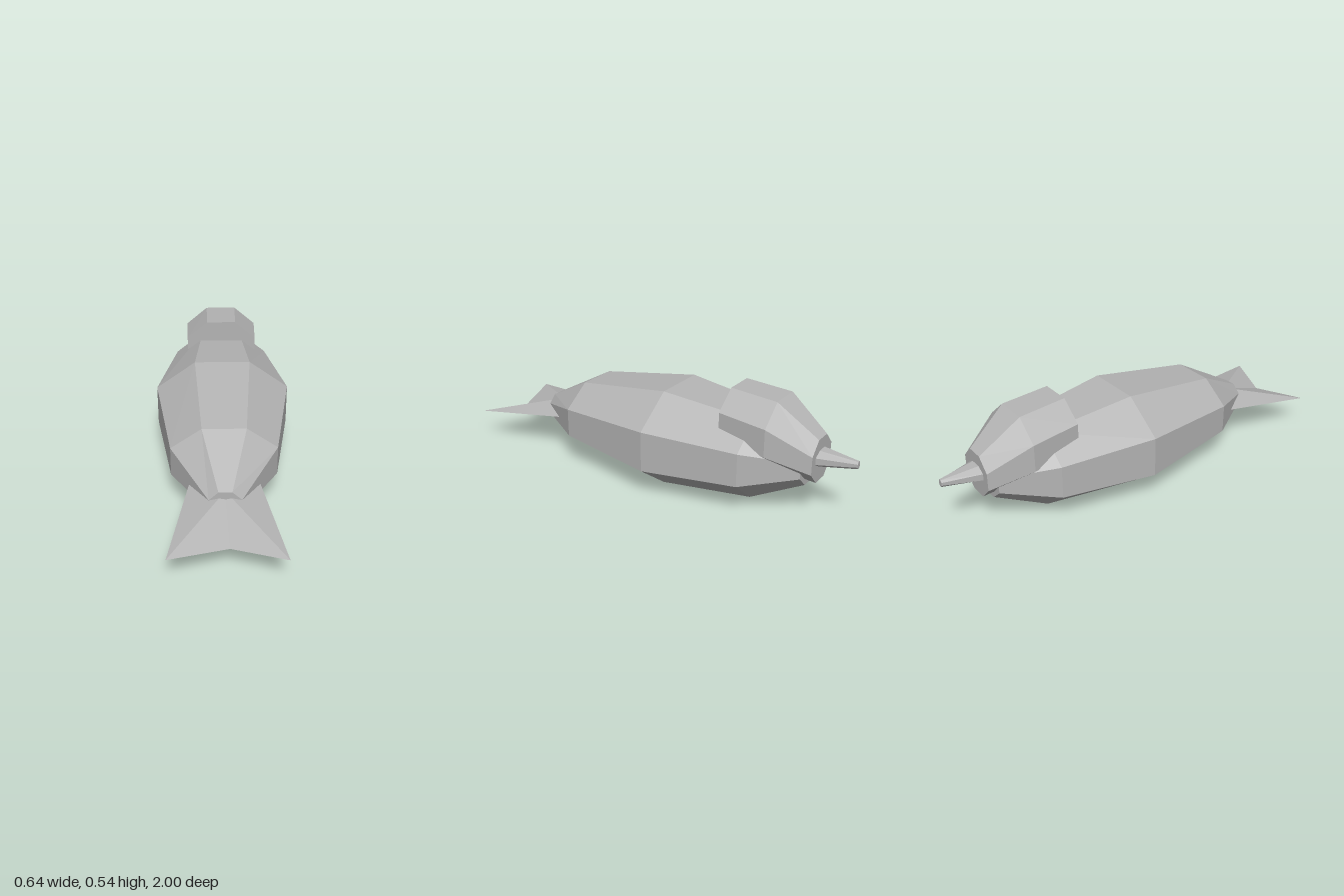
import * as THREE from 'three';

// Vertices + triangles -> flat shaded geometry
function facet(points, faces) {
  const g = new THREE.BufferGeometry();
  g.setAttribute('position', new THREE.Float32BufferAttribute(points.flat(), 3));
  g.setIndex(faces.flat());
  const flat = g.toNonIndexed();
  flat.computeVertexNormals();
  return flat;
}

// Capped loft through octagonal rings [z, centreY, halfWidth, halfHeight], ordered from -z to +z
function octagonLoft(rings) {
  const k = Math.SQRT2 - 1;
  const corners = [[1, -k], [1, k], [k, 1], [-k, 1], [-1, k], [-1, -k], [-k, -1], [k, -1]];
  const points = [], faces = [];
  for (const [z, y, w, h] of rings) {
    for (const [cx, cy] of corners) points.push([cx * w, y + cy * h, z]);
  }
  for (let r = 0; r < rings.length - 1; r++) {
    for (let i = 0; i < 8; i++) {
      const a = r * 8 + i, b = r * 8 + (i + 1) % 8;
      faces.push([a, b, b + 8], [a, b + 8, a + 8]);
    }
  }
  const last = (rings.length - 1) * 8;
  for (let i = 1; i < 7; i++) {
    faces.push([0, i + 1, i], [last, last + i, last + i + 1]);
  }
  return facet(points, faces);
}

export function createModel() {
  const group = new THREE.Group();
  const grey = new THREE.MeshStandardMaterial({ color: 0xb4b4b4, flatShading: true, side: THREE.DoubleSide });
  grey.name = 'plain grey';

  const add = (name, geometry) => {
    const mesh = new THREE.Mesh(geometry, grey);
    mesh.name = name;
    group.add(mesh);
  };

  // Spindle-shaped body
  add('body', octagonLoft([
    [-0.78, 0.24, 0.1, 0.09],
    [-0.54, 0.232, 0.235, 0.191],
    [-0.09, 0.236, 0.322, 0.236],
    [0.41, 0.229, 0.24, 0.169],
    [0.68, 0.185, 0.071, 0.067],
  ]));

  // Head, sunk into the top of the body
  add('head', octagonLoft([
    [-0.83, 0.278, 0.1, 0.103],
    [-0.64, 0.368, 0.182, 0.157],
    [-0.41, 0.395, 0.175, 0.146],
  ]));

  // Tapered beak
  add('beak', octagonLoft([
    [-1, 0.293, 0.013, 0.017],
    [-0.82, 0.287, 0.066, 0.039],
  ]));

  // Forked tail: a thin folded sheet
  add('tail', facet([
    [0, 0.23, 0.64], [0.015, 0.138, 0.905],
    [0.248, 0.157, 1], [0.155, 0.198, 0.54],
    [-0.24, 0.157, 0.99], [-0.155, 0.198, 0.54],
  ], [[0, 1, 2], [0, 2, 3], [0, 4, 1], [0, 5, 4]]));

  return group;
}
